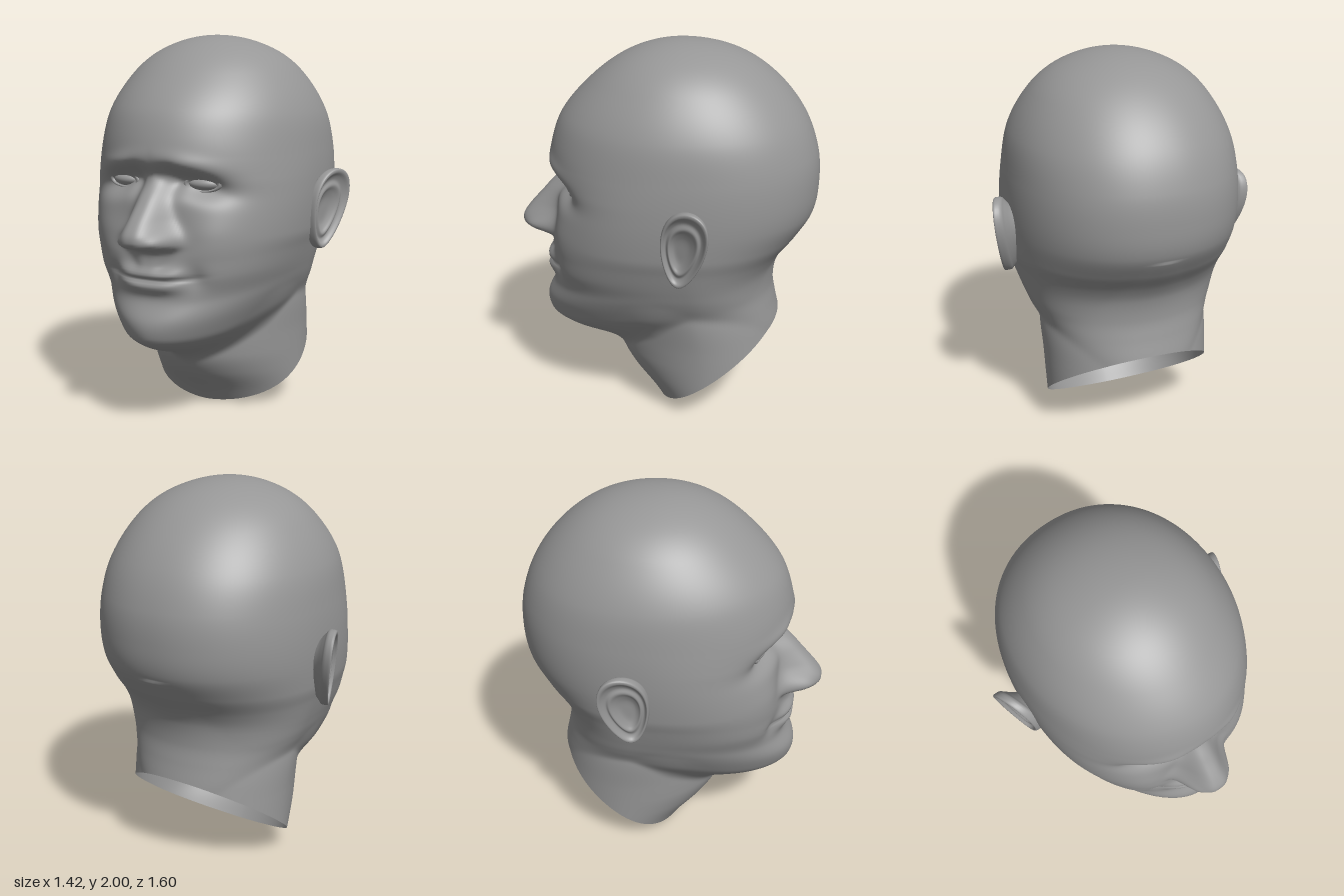
import * as THREE from 'three';

// Smooth curve through [y, value] pairs listed from crown to neck.
// It runs over sqrt(2 - y) so the crown closes roundly.
function curve(pairs) {
  const t = pairs.map(p => Math.sqrt(2 - p[0]));
  const f = pairs.map(p => p[1]);
  const n = t.length;
  const slope = t.map((_, i) => {
    const a = Math.max(0, i - 1), b = Math.min(n - 1, i + 1);
    return (f[b] - f[a]) / (t[b] - t[a]);
  });
  return y => {
    const q = Math.min(Math.max(Math.sqrt(Math.max(0, 2 - y)), t[0]), t[n - 1]);
    let i = 0;
    while (i < n - 2 && q > t[i + 1]) i++;
    const h = t[i + 1] - t[i], s = (q - t[i]) / h, s2 = s * s, s3 = s2 * s;
    return f[i] * (2 * s3 - 3 * s2 + 1) + slope[i] * h * (s3 - 2 * s2 + s)
      + f[i + 1] * (3 * s2 - 2 * s3) + slope[i + 1] * h * (s3 - s2);
  };
}

// Skull and face outlines by height
const faceZ = curve([[2, -0.07], [1.94, 0.2], [1.79, 0.415], [1.63, 0.555], [1.51, 0.607], [1.39, 0.626],
  [1.29, 0.605], [1.18, 0.59], [1.0, 0.59], [0.9, 0.61], [0.8, 0.632], [0.68, 0.632], [0.57, 0.678],
  [0.49, 0.672], [0.45, 0.64], [0.4, 0.54], [0.35, 0.37], [0.31, 0.24], [0.25, 0.08], [0.1, -0.1]]);
const faceWidth = curve([[2, 0], [1.97, 0.19], [1.9, 0.34], [1.8, 0.446], [1.6, 0.555], [1.4, 0.59], [1.2, 0.598],
  [1, 0.583], [0.9, 0.56], [0.8, 0.54], [0.72, 0.524], [0.6, 0.498], [0.49, 0.462], [0.42, 0.41], [0.35, 0.3], [0.28, 0.15]]);
const backZ = curve([[2, -0.07], [1.955, -0.34], [1.83, -0.55], [1.64, -0.71], [1.45, -0.785], [1.29, -0.80],
  [1.13, -0.78], [1.01, -0.71], [0.9, -0.625], [0.82, -0.585], [0.7, -0.57], [0.6, -0.585], [0.49, -0.61], [0, -0.7]]);
const middleZ = curve([[2, -0.07], [1.5, -0.1], [1, -0.1], [0.7, -0.15], [0.4, -0.22], [0, -0.26]]);
const squareness = curve([[2, 2], [1.7, 2], [1.4, 2.05], [1.25, 2.25], [1, 2.5], [0.8, 2.4], [0.65, 2.15],
  [0.5, 1.85], [0.35, 1.8]]);
const backSquareness = curve([[2, 2], [1.7, 2.1], [1.3, 2.2], [1, 2.1], [0.8, 2]]);

// Neck outlines by height
const neckZ = curve([[1.1, 0], [0.8, 0.15], [0.5, 0.27], [0.31, 0.27], [0.2, 0.215], [0.08, 0.11], [0, 0.05]]);
const neckWidth = curve([[1.1, 0.3], [0.8, 0.43], [0.6, 0.455], [0.4, 0.447], [0.2, 0.442], [0, 0.44]]);

// Nose height and half width
const noseHeight = curve([[1.45, 0], [1.36, 0], [1.29, -0.01], [1.18, 0.082], [1.065, 0.185], [1.01, 0.212],
  [0.965, 0.185], [0.94, 0.08], [0.92, 0.04], [0.86, 0.02], [0.8, 0], [0.7, 0]]);
const noseWidth = curve([[1.4, 0.06], [1.25, 0.065], [1.1, 0.095], [1, 0.13], [0.94, 0.12], [0.85, 0.06]]);

const bump = (x, y, cx, cy, sx, sy, h) => h * Math.exp(-(((x - cx) / sx) ** 2) - ((y - cy) / sy) ** 2);

// Facial relief, symmetric in x
function relief(side, y) {
  const x = Math.abs(side);
  const smile = 0.786 + 0.3 * x * x;
  const lip = (cy, s, span, h) => h * Math.exp(-((x / span) ** 3) - ((y - cy) / s) ** 2);
  const droop = y + 0.2 * (x - 0.2);                   // sockets and brows fall away outwards
  return noseHeight(y) * Math.exp(-((x / noseWidth(y)) ** 3))
    + bump(x, y, 0.115, 0.985, 0.035, 0.035, 0.03)     // nostril wings
    + bump(x, droop, 0.21, 1.26, 0.15, 0.06, -0.085)   // eye sockets
    + bump(x, y, 0.1, 1.27, 0.045, 0.07, -0.035)       // inner corners
    + bump(x, droop, 0.2, 1.36, 0.15, 0.045, 0.018)    // brows
    + bump(x, y, 0.31, 1.0, 0.14, 0.13, 0.03)          // cheeks
    + bump(x, y, 0.23, 0.8, 0.06, 0.06, -0.025)        // mouth corners
    + lip(smile + 0.028, 0.03, 0.17, 0.032) + lip(smile - 0.034, 0.034, 0.16, 0.034)
    + lip(smile, 0.01, 0.21, -0.022);
}

// Polar radius of a superellipse
const reach = (c, s, w, d, e) =>
  (Math.abs(c / Math.max(1e-4, w)) ** e + Math.abs(s / Math.max(1e-4, d)) ** e) ** (-1 / e);

function headPoint(angle, y) {
  const c = Math.cos(angle), s = Math.sin(angle), m = middleZ(y), front = s > 0;
  // The jaw line climbs from the chin towards the ears
  const jawY = y - 0.2 * c * c * (1 - THREE.MathUtils.smoothstep(y, 0.5, 1));
  const back = m - backZ(y);
  const face = reach(c, s, faceWidth(jawY), front ? faceZ(jawY) - m : back, front ? squareness(jawY) : backSquareness(y));
  let r = face;
  if (y < 1.1) {
    // Blend softly from face to neck
    const neck = reach(c, s, neckWidth(y), front ? neckZ(y) - m : back, front ? 1.75 : 2);
    const k = 0.03 + 0.15 * THREE.MathUtils.smoothstep(s, 0, 0.6) * (1 - THREE.MathUtils.smoothstep(y, 0.7, 1.1));
    const h = Math.max(k - Math.abs(face - neck), 0) * THREE.MathUtils.smoothstep(y, 0, 0.25);
    r = Math.max(face, neck) + h * h / (4 * k);
  }
  const x = r * c, z = m + r * s;
  return [x, y, z + relief(x, y) * THREE.MathUtils.smoothstep(z, 0.1, 0.35)];
}

// Surface from rows of closed rings
function loft(rows, cols, point, flip = false) {
  const pos = [], index = [];
  for (let i = 0; i < rows; i++) for (let j = 0; j < cols; j++) pos.push(...point(i, j));
  for (let i = 0; i < rows - 1; i++) for (let j = 0; j < cols; j++) {
    const k = (j + 1) % cols;
    const a = i * cols + j, b = a + cols, c = i * cols + k, d = c + cols;
    if (flip) index.push(a, c, b, b, c, d);
    else index.push(a, b, c, b, d, c);
  }
  const g = new THREE.BufferGeometry();
  g.setAttribute('position', new THREE.Float32BufferAttribute(pos, 3));
  g.setIndex(index);
  g.computeVertexNormals();
  return g;
}

function headGeometry() {
  const rows = 230, cols = 190, angles = [], start = [];
  for (let j = 0; j < cols; j++) {
    // Columns are denser across the face
    const u = j / cols * Math.PI * 2, angle = u + 0.55 * Math.cos(u);
    // Height where the slanted neck cut begins
    let lo = 0, hi = 0.8;
    for (let k = 0; k < 30; k++) {
      const y = (lo + hi) / 2;
      if (y < 0.77 * (0.05 - headPoint(angle, y)[2])) lo = y; else hi = y;
    }
    angles.push(angle);
    start.push(lo);
  }
  return loft(rows, cols, (i, j) => {
    const f = 1 - (1 - i / (rows - 1)) ** 1.6;
    return headPoint(angles[j], start[j] + (2 - start[j]) * f);
  });
}

// Ear rings: [reach, outward offset] from the bowl over the rim to the back
function earGeometry(side) {
  const path = new THREE.CatmullRomCurve3([[0, -0.03], [0.3, -0.028], [0.48, -0.016], [0.6, -0.004], [0.72, -0.012],
    [0.82, -0.004], [0.91, 0.01], [0.99, 0.002], [0.99, -0.025], [0.9, -0.045], [0.74, -0.075], [0.58, -0.12]]
    .map(p => new THREE.Vector3(p[0], p[1], 0)));
  const rings = path.getPoints(44), cols = 56;
  return loft(rings.length, cols, (i, j) => {
    const a = j / cols * Math.PI * 2, s = Math.sin(a), r = rings[i].x;
    const y = 1.095 + 0.212 * r * s - 0.02 * (1 - r);
    const z = -0.124 - r * (Math.cos(a) * 0.115 * (1 + 0.28 * s) + 0.028 * s) + 0.012 * (1 - r);
    const x = 0.645 + rings[i].y - 0.36 * (z + 0.125) + 0.1 * (y - 1.1);
    return [side * x, y, z];
  }, side < 0);
}

export function createModel() {
  const model = new THREE.Group();
  model.name = 'humanHead';
  const skin = new THREE.MeshStandardMaterial({ color: 0x979797, side: THREE.DoubleSide });
  const add = (parent, geometry, name) => {
    const mesh = new THREE.Mesh(geometry, skin);
    mesh.name = name;
    parent.add(mesh);
    return mesh;
  };

  add(model, headGeometry(), 'headAndNeck');

  for (const [side, name] of [[1, 'left'], [-1, 'right']]) {
    add(model, earGeometry(side), name + 'Ear');

    // Eyeball with a soft rim of lids
    const eye = new THREE.Group();
    eye.name = name + 'Eye';
    eye.position.set(side * 0.225, 1.262, 0.46);
    eye.rotation.y = side * 0.15;
    add(eye, new THREE.SphereGeometry(1, 32, 20).scale(0.088, 0.036, 0.055), name + 'Eyeball');
    const lids = new THREE.TorusGeometry(0.088, 0.014, 10, 40).scale(1, 0.42, 1);
    add(eye, lids, name + 'Eyelids').position.z = 0.024;
    model.add(eye);
  }
  return model;
}
